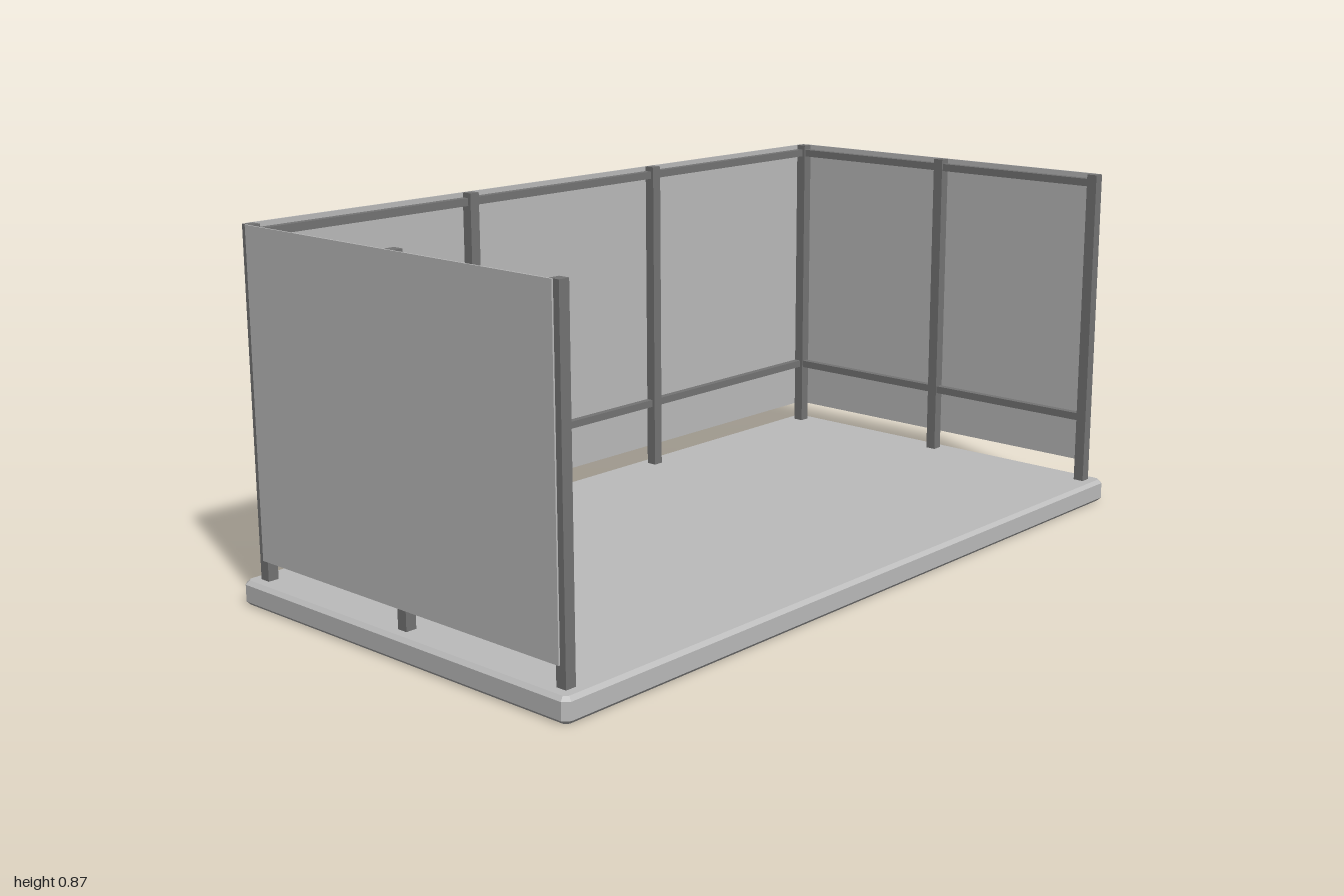
import * as THREE from 'three';

export function createModel() {
  const model = new THREE.Group();
  const lightGrey = new THREE.MeshStandardMaterial({ name: 'lightGrey', color: 0xbcbcbc });
  const darkGrey = new THREE.MeshStandardMaterial({ name: 'darkGrey', color: 0x747474 });

  // Box given by its minimum and maximum corners
  function box(name, material, min, max) {
    const size = max.map((v, i) => v - min[i]);
    const mesh = new THREE.Mesh(new THREE.BoxGeometry(...size), material);
    mesh.position.set(...max.map((v, i) => (v + min[i]) / 2));
    mesh.name = name;
    model.add(mesh);
  }

  // Floor slab, chamfered on every edge
  const W = 1, D = 0.522, H = 0.058, c = 0.009;
  const x = W - c, z = D - c;
  const outline = new THREE.Shape([
    [-x + c, -z], [x - c, -z], [x, -z + c], [x, z - c],
    [x - c, z], [-x + c, z], [-x, z - c], [-x, -z + c],
  ].map(([a, b]) => new THREE.Vector2(a, b)));
  const slabGeometry = new THREE.ExtrudeGeometry(outline, {
    depth: H - 2 * c, bevelEnabled: true, bevelSize: c, bevelThickness: c, bevelSegments: 1,
  });
  slabGeometry.rotateX(-Math.PI / 2);
  slabGeometry.translate(0, c, 0);
  const slab = new THREE.Mesh(slabGeometry, lightGrey);
  slab.name = 'floorSlab';
  model.add(slab);

  // Posts: corners, side middles and back thirds
  const px = 0.955, pz = 0.477, r = 0.0135, top = 0.87;
  const posts = [[-0.32, -pz], [0.32, -pz]];
  for (const s of [-1, 1]) for (const q of [-pz, 0, pz]) posts.push([s * px, q]);
  for (const [a, b] of posts) {
    box('post', darkGrey, [a - r, H - 0.003, b - r], [a + r, top, b + r]);
  }

  // Horizontal rails, set against the panels
  for (const [y0, y1] of [[0.219, 0.238], [0.839, 0.858]]) {
    box('backRail', darkGrey, [-px, y0, -0.49], [px, y1, -0.472]);
    for (const s of [-1, 1]) {
      const [a, b] = [s * 0.945, s * 0.963].sort((m, n) => m - n);
      box('sideRail', darkGrey, [a, y0, -pz], [b, y1, pz]);
    }
  }

  // Thin wall panels on the outside of the frame
  const y0 = 0.106;
  box('backPanel', lightGrey, [-0.954, y0, -0.4945], [0.954, top, -0.4905]);
  for (const s of [-1, 1]) {
    const [a, b] = [s * 0.9685, s * 0.9725].sort((m, n) => m - n);
    box('sidePanel', lightGrey, [a, y0, -0.475], [b, top, 0.475]);
  }

  return model;
}
